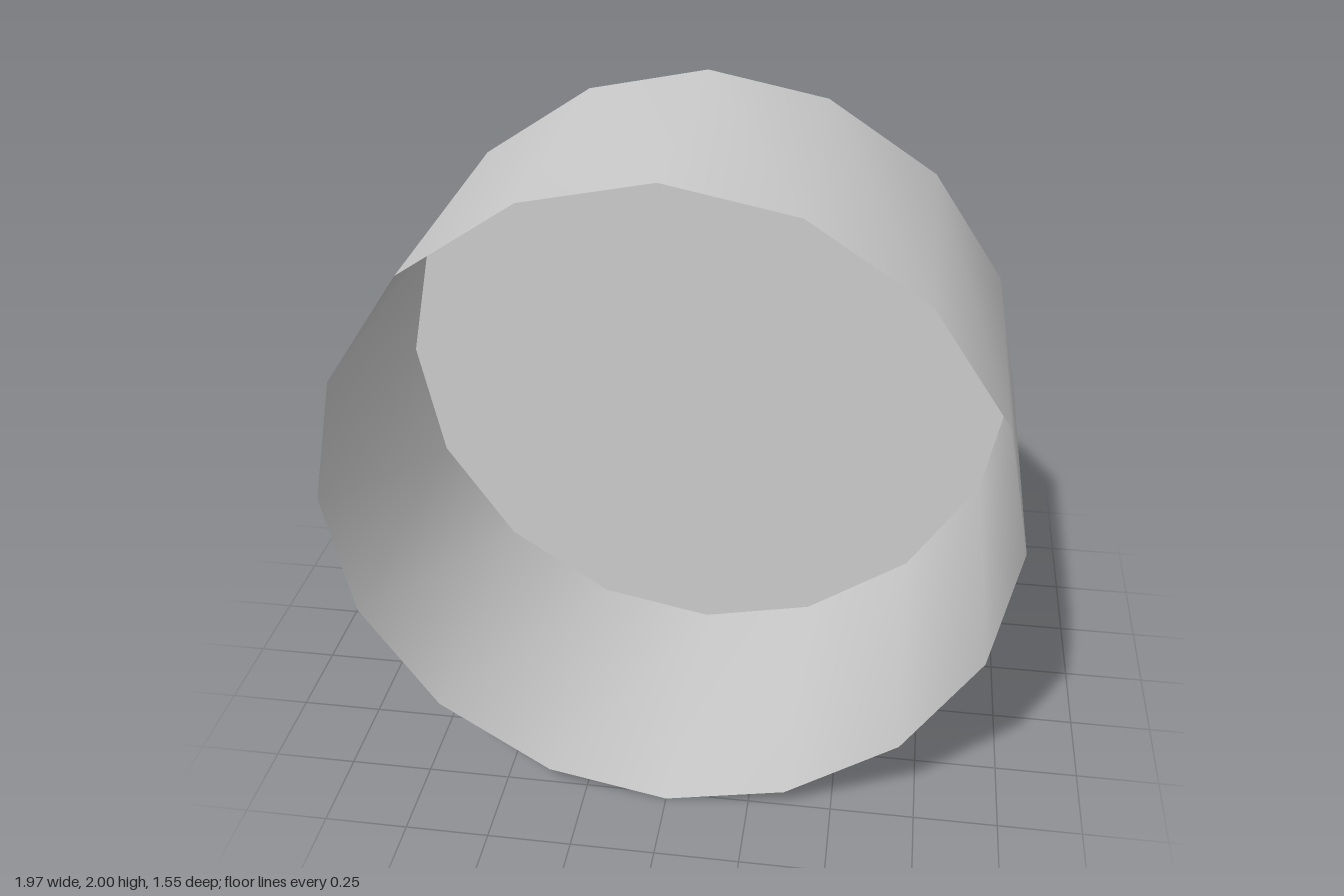
import * as THREE from 'three';
import { toCreasedNormals } from 'three/addons/utils/BufferGeometryUtils.js';

const FRONT = 0.775, STEP = -0.155, BACK = -0.775, BORE_FLOOR = -0.24;
const BORE_X = 0.425, BORE_Y = 0.435;

// Mirrors a quarter outline (from +y round to +x) into a full clockwise loop.
function mirrorQuarter(quarter) {
  const lower = quarter.slice(0, -1).reverse().map(([x, y]) => [x, -y]);
  const right = [...quarter, ...lower];
  const left = right.slice(1, -1).reverse().map(([x, y]) => [-x, y]);
  return [...right, ...left].map(([x, y]) => new THREE.Vector2(x, y));
}

// Smooth open wall between two copies of a loop.
function wallGeometry(loop, zFront, zBack) {
  const positions = [], index = [], n = loop.length;
  loop.forEach((p, i) => {
    positions.push(p.x, p.y, zFront, p.x, p.y, zBack);
    const a = 2 * i, b = 2 * ((i + 1) % n);
    index.push(a, b, a + 1, b, b + 1, a + 1);
  });
  const geometry = new THREE.BufferGeometry();
  geometry.setAttribute('position', new THREE.Float32BufferAttribute(positions, 3));
  geometry.setIndex(index);
  geometry.computeVertexNormals();
  return geometry;
}

export function createModel() {
  const group = new THREE.Group();
  group.name = 'cap';
  const solid = new THREE.MeshStandardMaterial({ color: 0xcccccc });
  const thin = new THREE.MeshStandardMaterial({ color: 0xcccccc, side: THREE.DoubleSide });

  const add = (name, geometry, material, z = 0) => {
    const mesh = new THREE.Mesh(geometry, material);
    mesh.name = name;
    mesh.position.set(0, 1, z);
    group.add(mesh);
  };

  // Thin cup, open at the front
  const rim = mirrorQuarter([[0, 1], [0.36, 0.927], [0.69, 0.708], [0.91, 0.38], [0.985, 0]]);
  add('cupWall', wallGeometry(rim, FRONT, STEP), thin);
  add('cupFloor', new THREE.ShapeGeometry(new THREE.Shape(rim)), thin, STEP);

  // Tapered neck: raised ribs on the axes, lower faces on the diagonals
  const section = new THREE.Shape(mirrorQuarter([
    [0, 0.87], [0.315, 0.815],
    [0.312, 0.757], [0.57, 0.58], [0.738, 0.325],
    [0.8, 0.33], [0.86, 0],
  ]));
  const bore = new THREE.Path();
  bore.setFromPoints(Array.from({ length: 12 }, (_, i) => {
    const a = (i / 12) * Math.PI * 2;
    return new THREE.Vector2(BORE_X * Math.cos(a), BORE_Y * Math.sin(a));
  }));
  section.holes.push(bore);
  const neck = new THREE.ExtrudeGeometry(section, { depth: STEP - BACK, bevelEnabled: false });
  const pos = neck.attributes.position;
  for (let i = 0; i < pos.count; i++) {
    const x = pos.getX(i), y = pos.getY(i);
    // Only the outside narrows towards the back; the bore stays straight
    if (Math.hypot(x, y) > 0.5 && pos.getZ(i) < 0.1) pos.setXY(i, x * 0.825, y * 0.825);
  }
  add('ribbedNeck', toCreasedNormals(neck, 0.5), solid, BACK);

  // Bottom of the bore
  const disc = new THREE.CircleGeometry(1, 12);
  disc.scale(BORE_X, BORE_Y, 1);
  add('boreFloor', disc, thin, BORE_FLOOR);

  return group;
}
